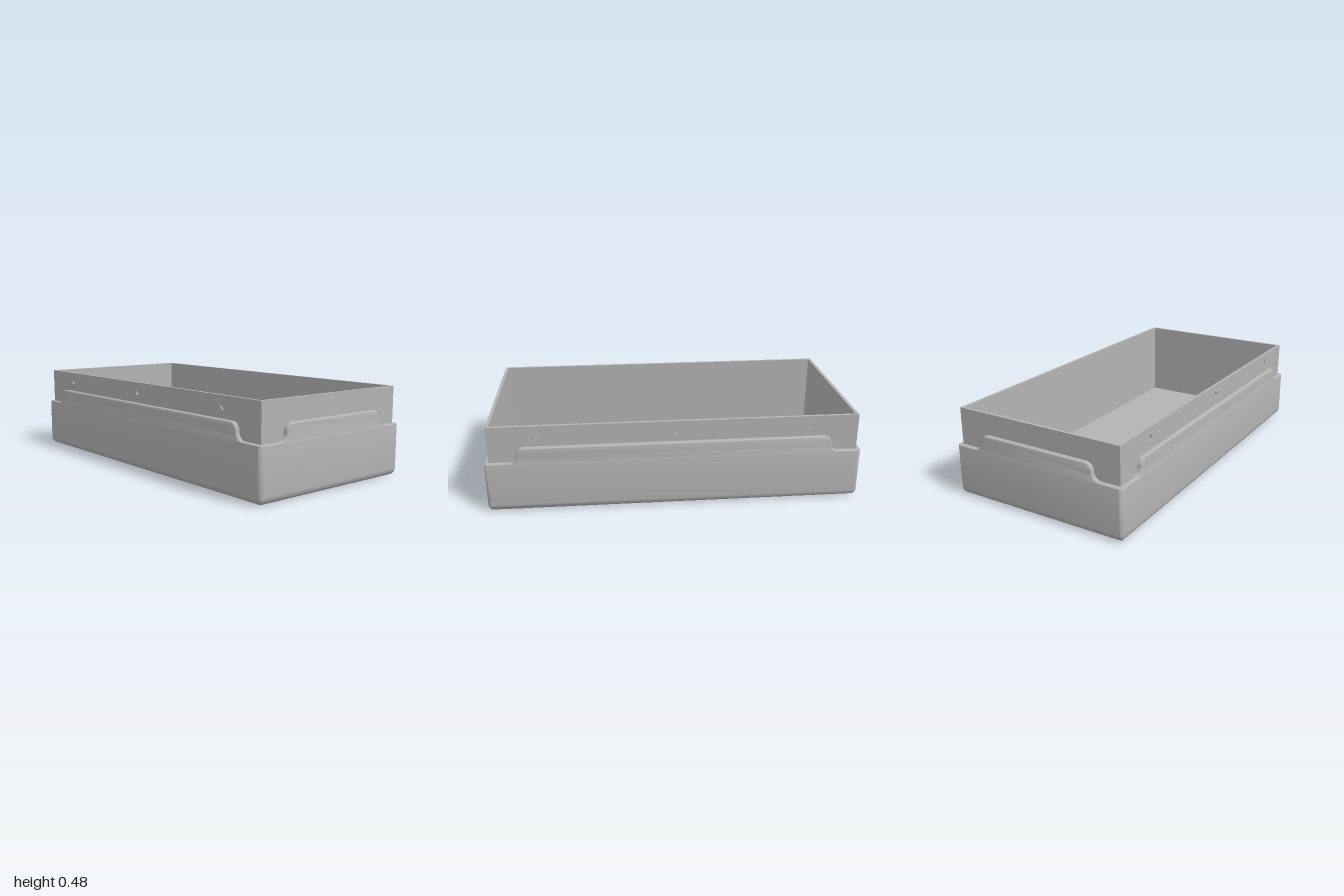
import * as THREE from 'three';
import { toCreasedNormals } from 'three/addons/utils/BufferGeometryUtils.js';

const HX = 1, HZ = 0.5;          // outer half sizes
const WX = 0.977, WZ = 0.477;    // raised wall, outside
const CX = 0.96, CZ = 0.46;      // cavity
const FLOOR = 0.025, LEDGE = 0.28, LIP = 0.366, TOP = 0.478;

// One rounded rectangle, running from +x towards +z
function ring(inset, y) {
  const r = Math.max(0.02 - inset, 0.002), pts = [], n = 6;
  [[1, 1], [-1, 1], [-1, -1], [1, -1]].forEach(([sx, sz], q) => {
    for (let k = 0; k <= n; k++) {
      const a = (q + k / n) * Math.PI / 2;
      pts.push([sx * (HX - inset - r) + r * Math.cos(a), y, sz * (HZ - inset - r) + r * Math.sin(a)]);
    }
  });
  return pts;
}

// Outer shell: rounded bottom edge, straight sides, softened ledge
function shellGeometry() {
  const profile = [];
  for (let k = 0; k <= 10; k++) {
    const a = k / 10 * Math.PI / 2;
    profile.push([0.04 * (1 - Math.sin(a)), 0.04 * (1 - Math.cos(a))]);
  }
  for (let k = 0; k <= 4; k++) {
    const a = k / 4 * Math.PI / 2;
    profile.push([0.006 * (1 - Math.cos(a)), LEDGE - 0.006 * (1 - Math.sin(a))]);
  }
  profile.push([0.03, LEDGE]);
  const rings = profile.map(([i, y]) => ring(i, y)), n = rings[0].length, index = [];
  for (let j = 0; j < rings.length - 1; j++) {
    for (let i = 0; i < n; i++) {
      const a = j * n + i, b = j * n + (i + 1) % n;
      index.push(a, a + n, b, b, a + n, b + n);
    }
  }
  const g = new THREE.BufferGeometry();
  g.setAttribute('position', new THREE.Float32BufferAttribute(rings.flat(2), 3));
  g.setIndex(index);
  return toCreasedNormals(g, 0.7);
}

// Raised lip panel with S-curved ends; its outer face lies at z = 0
function lipGeometry(half) {
  const r = (LIP - LEDGE) / 2, xm = half, y0 = 0.262;
  const s = new THREE.Shape();
  s.moveTo(-xm - r, y0);
  s.lineTo(xm + r, y0);
  s.lineTo(xm + r, LEDGE);
  s.absarc(xm + r, LEDGE + r, r, -Math.PI / 2, -Math.PI, true);
  s.absarc(xm - r, LIP - r, r, 0, Math.PI / 2, false);
  s.lineTo(-xm + r, LIP);
  s.absarc(-xm + r, LIP - r, r, Math.PI / 2, Math.PI, false);
  s.absarc(-xm - r, LEDGE + r, r, 0, -Math.PI / 2, true);
  s.lineTo(-xm - r, y0);
  const bevel = 0.008;
  const g = new THREE.ExtrudeGeometry(s, {
    depth: 0.018, curveSegments: 10, bevelEnabled: true,
    bevelThickness: bevel, bevelSize: bevel, bevelOffset: -bevel, bevelSegments: 4,
  });
  g.translate(0, 0, -0.018 - bevel);
  return toCreasedNormals(g, 0.7);
}

// Outer skin of a long wall, with three round sockets
function socketWallGeometry(depth) {
  const s = new THREE.Shape();
  s.moveTo(-WX, FLOOR);
  s.lineTo(WX, FLOOR);
  s.lineTo(WX, TOP);
  s.lineTo(-WX, TOP);
  s.closePath();
  for (const x of [-0.715, 0, 0.715]) {
    s.holes.push(new THREE.Path().absarc(x, 0.424, 0.016, 0, Math.PI * 2, true));
  }
  const g = new THREE.ExtrudeGeometry(s, { depth, bevelEnabled: false, curveSegments: 24 });
  g.translate(0, 0, -depth);
  return toCreasedNormals(g, 0.7);
}

export function createModel() {
  const grey = new THREE.MeshStandardMaterial({ color: 0xb3b3b3 });
  grey.name = 'grey';
  const model = new THREE.Group();
  model.name = 'tray';
  const add = (name, geometry, x = 0, y = 0, z = 0, turn = 0) => {
    const mesh = new THREE.Mesh(geometry, grey);
    mesh.name = name;
    mesh.position.set(x, y, z);
    mesh.rotation.y = turn;
    model.add(mesh);
  };

  add('outerShell', shellGeometry());
  add('floor', new THREE.BoxGeometry(CX * 2, FLOOR, CZ * 2), 0, FLOOR / 2, 0);

  // Long sides: socketed skin backed by a plain inner wall, plus lip
  const skin = 0.01, wallH = TOP - FLOOR, wallY = (TOP + FLOOR) / 2;
  const longLip = lipGeometry(0.833), shortLip = lipGeometry(0.335);
  const socketWall = socketWallGeometry(skin);
  const backing = new THREE.BoxGeometry(WX * 2, wallH, WZ - skin - CZ);
  const endWall = new THREE.BoxGeometry(WX - CX, wallH, CZ * 2);
  for (const side of [1, -1]) {
    const long = side > 0 ? 'front' : 'back', end = side > 0 ? 'left' : 'right';
    const turn = side > 0 ? 0 : Math.PI;
    add(long + 'Wall', socketWall, 0, 0, side * WZ, turn);
    add(long + 'InnerWall', backing, 0, wallY, side * (WZ - skin + CZ) / 2);
    add(long + 'Lip', longLip, 0, 0, side * HZ, turn);
    // Short ends
    add(end + 'Wall', endWall, side * (WX + CX) / 2, wallY, 0);
    add(end + 'Lip', shortLip, side * HX, 0, 0, side * Math.PI / 2);
  }
  return model;
}
